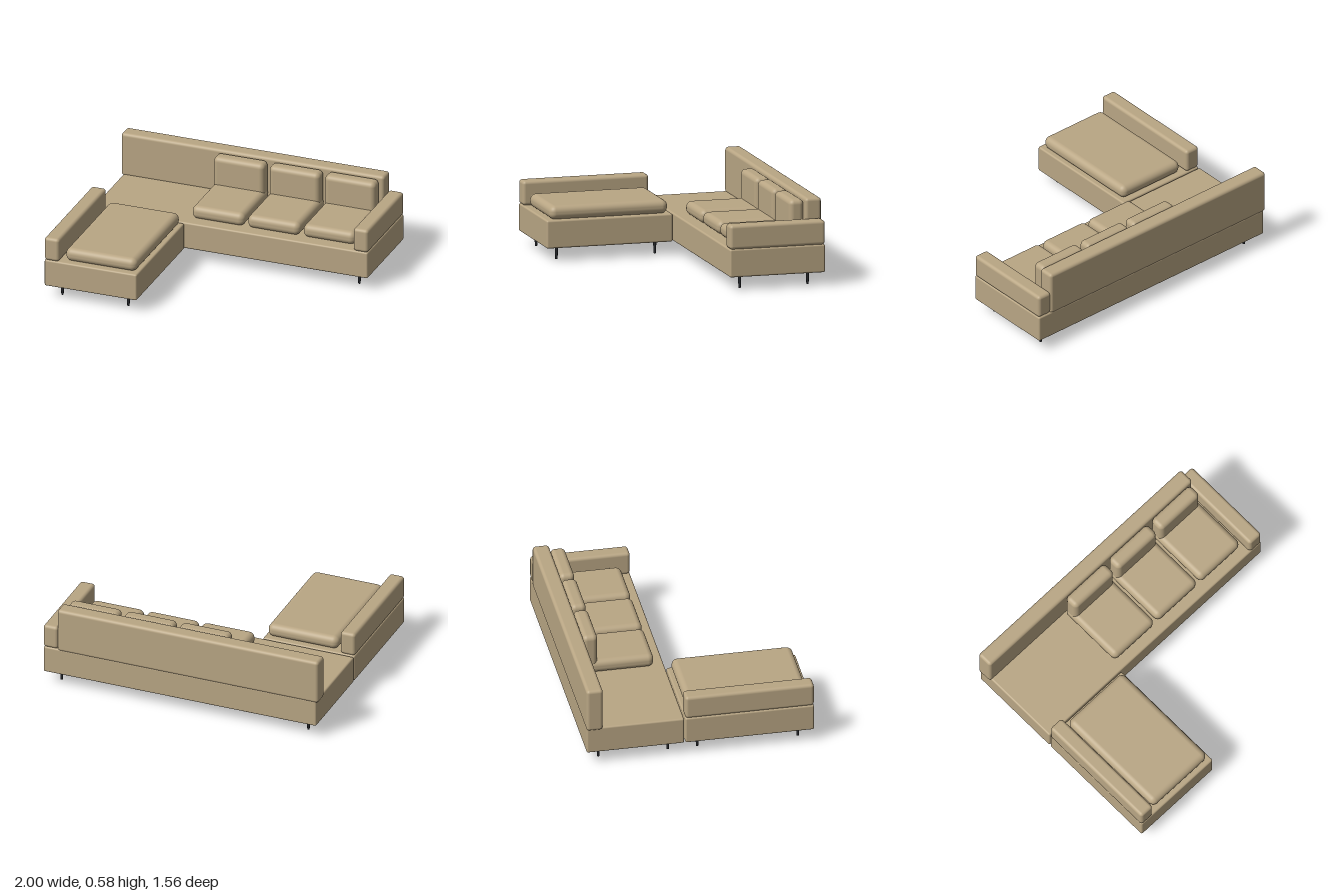
import * as THREE from 'three';
import { RoundedBoxGeometry } from 'three/addons/geometries/RoundedBoxGeometry.js';

const fabric = new THREE.MeshStandardMaterial({ color: 0xb9a684 });
const legPaint = new THREE.MeshStandardMaterial({ color: 0x25272b });

// Upholstered block given by its extents along each axis
function block(name, [x0, x1], [y0, y1], [z0, z1], radius, segments = 4) {
  const geometry = new RoundedBoxGeometry(x1 - x0, y1 - y0, z1 - z0, segments, radius);
  const mesh = new THREE.Mesh(geometry, fabric);
  mesh.name = name;
  mesh.position.set((x0 + x1) / 2, (y0 + y1) / 2, (z0 + z1) / 2);
  return mesh;
}

// Four tapered legs at the crossings of two x and two z positions
function legs(name, xs, zs) {
  const group = new THREE.Group();
  group.name = name;
  const geometry = new THREE.CylinderGeometry(0.012, 0.008, 0.1, 16);
  for (const x of xs) for (const z of zs) {
    const leg = new THREE.Mesh(geometry, legPaint);
    leg.name = 'leg';
    leg.position.set(x, 0.05, z);
    group.add(leg);
  }
  return group;
}

export function createModel() {
  const model = new THREE.Group();
  model.name = 'cornerSofa';
  const baseY = [0.09, 0.281], armY = [0.279, 0.445], seatY = [0.279, 0.372];

  // Main sofa section
  const sofa = new THREE.Group();
  sofa.name = 'sofaSection';
  sofa.add(
    block('sofaBase', [-0.985, 0.995], baseY, [-0.777, -0.111], 0.012),
    block('backrest', [-1, 0.895], [0.268, 0.582], [-0.78, -0.668], 0.022),
    block('leftArm', [0.89, 0.997], armY, [-0.777, -0.111], 0.022),
    legs('sofaLegs', [-0.89, 0.9], [-0.68, -0.205])
  );

  // Three seats, each with a seat and a back cushion
  for (let i = 0; i < 3; i++) {
    const x = -0.304 + i * 0.4;
    sofa.add(
      block('seatCushion', [x, x + 0.377], seatY, [-0.668, -0.182], 0.04, 6),
      block('backCushion', [x + 0.006, x + 0.371], [0.29, 0.57], [-0.668, -0.565], 0.034, 6)
    );
  }

  // Chaise section in front of the right end
  const chaise = new THREE.Group();
  chaise.name = 'chaiseSection';
  chaise.add(
    block('chaiseBase', [-0.985, -0.32], baseY, [-0.103, 0.777], 0.012),
    block('rightArm', [-0.987, -0.88], armY, [-0.103, 0.777], 0.022),
    block('chaiseCushion', [-0.85, -0.338], seatY, [-0.078, 0.747], 0.042, 6),
    legs('chaiseLegs', [-0.89, -0.415], [-0.005, 0.683])
  );

  model.add(sofa, chaise);
  return model;
}
